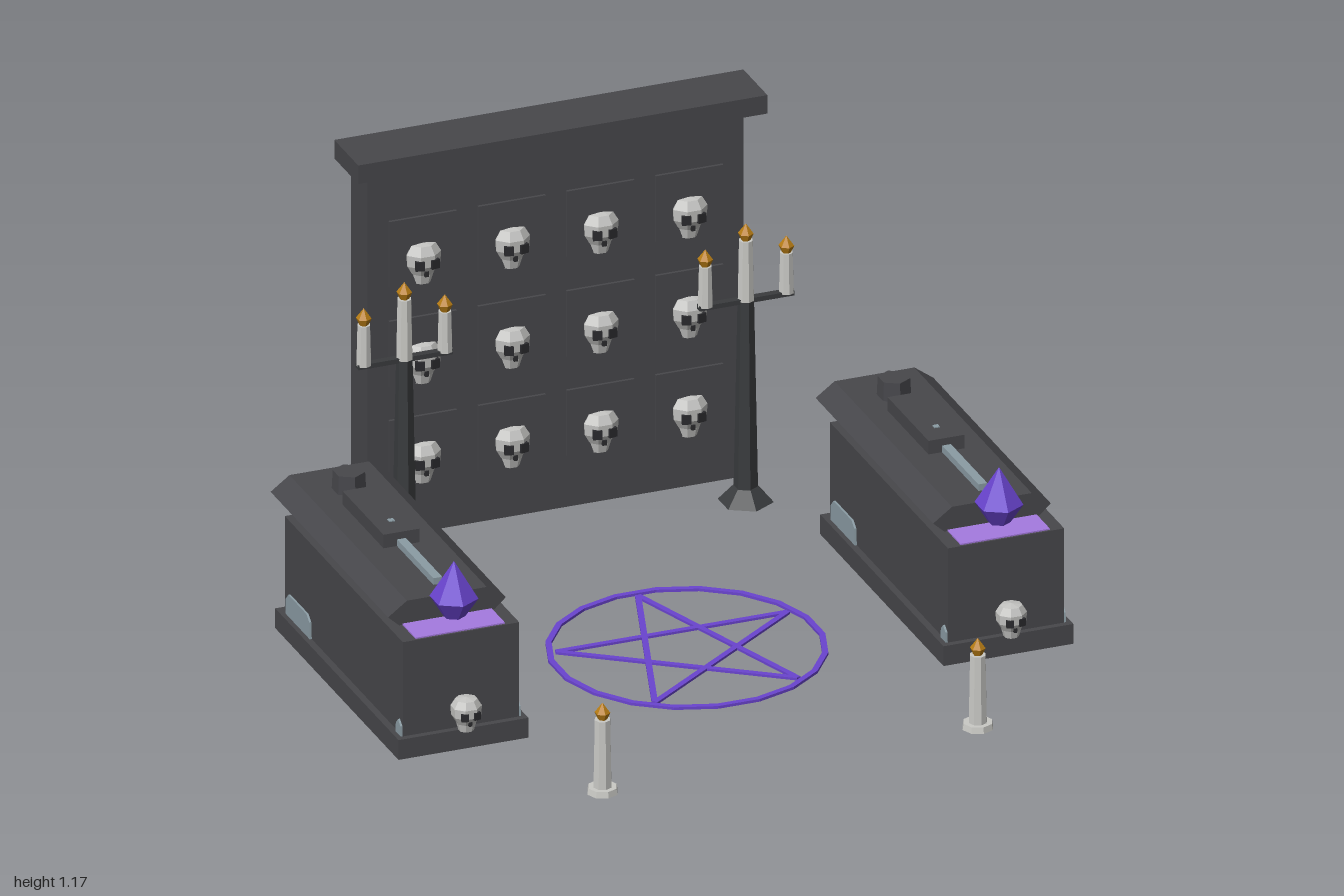
import * as THREE from 'three';

const mat = (name, color) => {
  const m = new THREE.MeshStandardMaterial({ color, flatShading: true });
  m.name = name;
  return m;
};

export function createModel() {
  const stone = mat('dark stone', 0x47474b);
  const iron = mat('iron', 0x3a3c3e);
  const bone = mat('bone', 0xc4c4c2);
  const socket = mat('socket black', 0x2b2b2e);
  const wax = mat('wax', 0xc9c9c5);
  const flameMat = mat('flame amber', 0xb87d14);
  const violet = mat('violet', 0x6a44cf);
  const lilac = mat('lilac glow', 0xa57ae0);
  const steel = mat('pale steel', 0x8b9ca4);

  const root = new THREE.Group();
  const group = (name, parent, x = 0, y = 0, z = 0) => {
    const g = new THREE.Group();
    g.name = name;
    g.position.set(x, y, z);
    parent.add(g);
    return g;
  };
  const add = (parent, name, geo, material, x = 0, y = 0, z = 0) => {
    const m = new THREE.Mesh(geo, material);
    m.name = name;
    m.position.set(x, y, z);
    parent.add(m);
    return m;
  };
  // Box given by its min and max on each axis
  const box = (parent, name, material, x0, x1, y0, y1, z0, z1) =>
    add(parent, name, new THREE.BoxGeometry(x1 - x0, y1 - y0, z1 - z0), material,
      (x0 + x1) / 2, (y0 + y1) / 2, (z0 + z1) / 2);
  const lathe = (pts, sides, phase = 0) =>
    new THREE.LatheGeometry(pts.map(p => new THREE.Vector2(...p)), sides, phase);
  const extrude = (pts, depth) => new THREE.ExtrudeGeometry(
    new THREE.Shape(pts.map(p => new THREE.Vector2(...p))), { depth, bevelEnabled: false });

  // Skull: faceted cranium and jaw with dark sockets
  const skullGeo = lathe([[0, -0.065], [0.028, -0.065], [0.036, -0.035], [0.054, -0.005],
    [0.056, 0.03], [0.04, 0.056], [0, 0.063]], 8, Math.PI / 8);
  skullGeo.scale(1, 1, 0.95);
  function skull(parent, x, y, z, s) {
    const g = group('skull', parent, x, y, z);
    g.scale.setScalar(s);
    add(g, 'cranium', skullGeo, bone);
    for (const e of [-1, 1]) {
      const eye = add(g, 'eyeSocket', new THREE.BoxGeometry(0.026, 0.028, 0.012), socket,
        e * 0.023, 0.004, 0.046);
      eye.rotation.y = e * 0.25;
    }
    add(g, 'nose', new THREE.BoxGeometry(0.012, 0.016, 0.01), socket, 0, -0.027, 0.039);
  }

  // Candle with a faceted flame
  const flameGeo = lathe([[0, 0], [0.012, 0], [0.022, 0.022], [0, 0.052]], 6);
  function candle(parent, x, y, z, h, r) {
    const g = group('candle', parent, x, y, z);
    add(g, 'waxStick', new THREE.CylinderGeometry(r * 0.85, r, h, 8), wax, 0, h / 2, 0);
    add(g, 'flame', flameGeo, flameMat, 0, h - 0.002, 0);
    return g;
  }

  // Back wall with cap, niche panels and skulls
  const wall = group('skullWall', root);
  box(wall, 'wallSlab', stone, -0.556, 0.556, 0, 1.118, -0.949, -0.827);
  box(wall, 'wallCap', stone, -0.605, 0.605, 1.118, 1.174, -0.949, -0.772);
  for (const x of [-0.394, -0.131, 0.131, 0.394])
    for (const y of [0.257, 0.559, 0.862]) {
      box(wall, 'nichePanel', stone, x - 0.1, x + 0.1, y - 0.1, y + 0.1, -0.83, -0.818);
      skull(wall, x, y - 0.038, -0.832, 0.97);
    }

  // Floor circle and star
  const sigil = group('floorStar', root, 0, 0, 0.142);
  const circle = (r) => Array.from({ length: 20 }, (_, i) => {
    const a = (i + 0.5) * Math.PI / 10;
    return new THREE.Vector2(r * Math.cos(a), r * Math.sin(a));
  });
  const ring = new THREE.Shape(circle(0.39));
  ring.holes.push(new THREE.Path(circle(0.373)));
  const ringGeo = new THREE.ExtrudeGeometry(ring, { depth: 0.008, bevelEnabled: false });
  ringGeo.rotateX(-Math.PI / 2);
  add(sigil, 'ring', ringGeo, violet);
  const tip = (i) => {
    const a = i * Math.PI * 2 / 5;
    return [0.36 * Math.sin(a), -0.36 * Math.cos(a)];
  };
  for (let i = 0; i < 5; i++) {
    const [ax, az] = tip(i), [bx, bz] = tip(i + 2);
    const bar = add(sigil, 'starBar',
      new THREE.BoxGeometry(Math.hypot(bx - ax, bz - az), 0.007, 0.017), violet,
      (ax + bx) / 2, 0.0035, (az + bz) / 2);
    bar.rotation.y = -Math.atan2(bz - az, bx - ax);
  }

  // Tomb parts
  const lidGeo = extrude([[-0.13, 0.336], [0.13, 0.336], [0.174, 0.376],
    [0.118, 0.417], [-0.118, 0.417], [-0.174, 0.376]], 0.866);
  const crystalGeo = lathe([[0, 0.375], [0.032, 0.375], [0.068, 0.43], [0, 0.54]], 6);
  const patchGeo = extrude([[-0.09, 0], [0.09, 0], [0.086, 0.05], [0.065, 0.066],
    [-0.068, 0.066], [-0.088, 0.045]], 0.008);
  const chipGeo = extrude([[-0.02, 0], [0.02, 0], [0.018, 0.03], [0, 0.045], [-0.016, 0.028]], 0.008);
  function tomb(x) {
    const g = group('tomb', root, x, 0, 0);
    box(g, 'plinth', stone, -0.192, 0.192, 0, 0.06, -0.405, 0.504);
    box(g, 'chest', stone, -0.172, 0.172, 0.06, 0.346, -0.384, 0.486);
    add(g, 'lid', lidGeo, stone, 0, 0, -0.484);
    box(g, 'glowOpening', lilac, -0.132, 0.132, 0.343, 0.35, 0.3, 0.48);
    // Carved sword on the lid
    box(g, 'swordGrip', stone, -0.053, 0.053, 0.417, 0.458, -0.255, 0.047);
    box(g, 'swordBlade', steel, -0.013, 0.013, 0.415, 0.437, 0.045, 0.315);
    box(g, 'stud', steel, -0.008, 0.008, 0.456, 0.461, -0.038, -0.022);
    add(g, 'pommel', new THREE.CylinderGeometry(0.045, 0.048, 0.056, 6), stone, 0, 0.444, -0.34);
    add(g, 'crystal', crystalGeo, violet, 0, 0, 0.434);
    skull(g, 0, 0.118, 0.524, 0.78);
    // Pale patches along both sides
    for (const s of [-1, 1]) {
      add(g, 'sidePatch', patchGeo, steel, s * 0.17, 0.06, -0.275).rotation.y = s * Math.PI / 2;
      add(g, 'cornerPatch', chipGeo, steel, s * 0.17, 0.06, 0.465).rotation.y = s * Math.PI / 2;
    }
  }

  // Three-armed candle stand
  function candleStand(x) {
    const g = group('candleStand', root, x, 0, -0.682);
    add(g, 'foot', new THREE.CylinderGeometry(0.036, 0.078, 0.045, 6), iron, 0, 0.0225, 0);
    add(g, 'pole', new THREE.CylinderGeometry(0.023, 0.034, 0.57, 6), iron, 0, 0.325, 0);
    box(g, 'arm', iron, -0.14, 0.14, 0.603, 0.617, -0.011, 0.011);
    candle(g, 0, 0.61, 0, 0.182, 0.024);
    for (const s of [-1, 1]) candle(g, s * 0.12, 0.612, 0, 0.122, 0.022);
  }

  for (const s of [-1, 1]) {
    tomb(s * 0.806);
    candleStand(s * 0.505);
    // Floor candle on a wax saucer
    const c = candle(root, s * 0.555, 0, 0.903, 0.222, 0.027);
    add(c, 'waxSaucer', new THREE.CylinderGeometry(0.042, 0.045, 0.018, 8), wax, 0, 0.009, 0);
  }
  return root;
}
